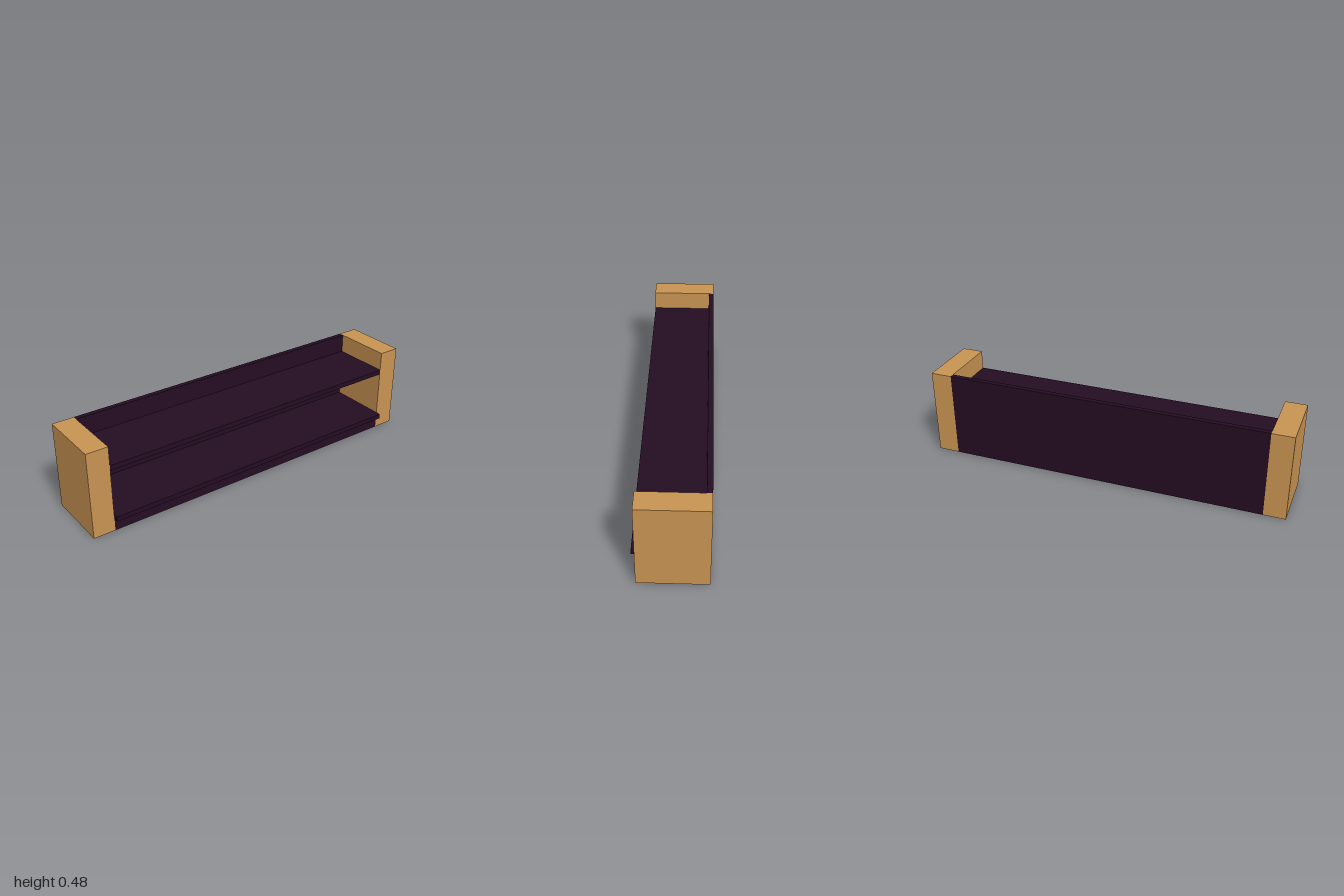
import * as THREE from 'three';

export function createModel() {
  const wood = new THREE.MeshStandardMaterial({ color: 0xc89352 });
  wood.name = 'tan wood';
  const dark = new THREE.MeshStandardMaterial({ color: 0x240d22 });
  dark.name = 'dark plum';

  const group = new THREE.Group();
  group.name = 'shelfUnit';

  // Box given by its minimum and maximum on each axis
  function board(name, material, [x0, x1], [y0, y1], [z0, z1]) {
    const mesh = new THREE.Mesh(new THREE.BoxGeometry(x1 - x0, y1 - y0, z1 - z0), material);
    mesh.position.set((x0 + x1) / 2, (y0 + y1) / 2, (z0 + z1) / 2);
    mesh.name = name;
    group.add(mesh);
  }

  const back = -0.192, front = 0.163, height = 0.479;
  const inner = 0.882, t = 0.027;
  const span = [-inner, inner];

  // Thick end blocks
  board('frontEndBlock', wood, [back, front], [0, height], [inner, 1]);
  board('rearEndBlock', wood, [back, front], [0, height], [-1, -inner]);

  // Panels running between the blocks
  board('backPanel', dark, [back, back + t], [0, height], span);
  board('plinth', dark, [back + t, front], [0, 0.068], span);
  board('lowerShelf', dark, [back + t, 0.191], [0.068, 0.068 + t], span);
  board('upperShelf', dark, [back + t, front], [0.347, 0.347 + t], span);

  return group;
}
